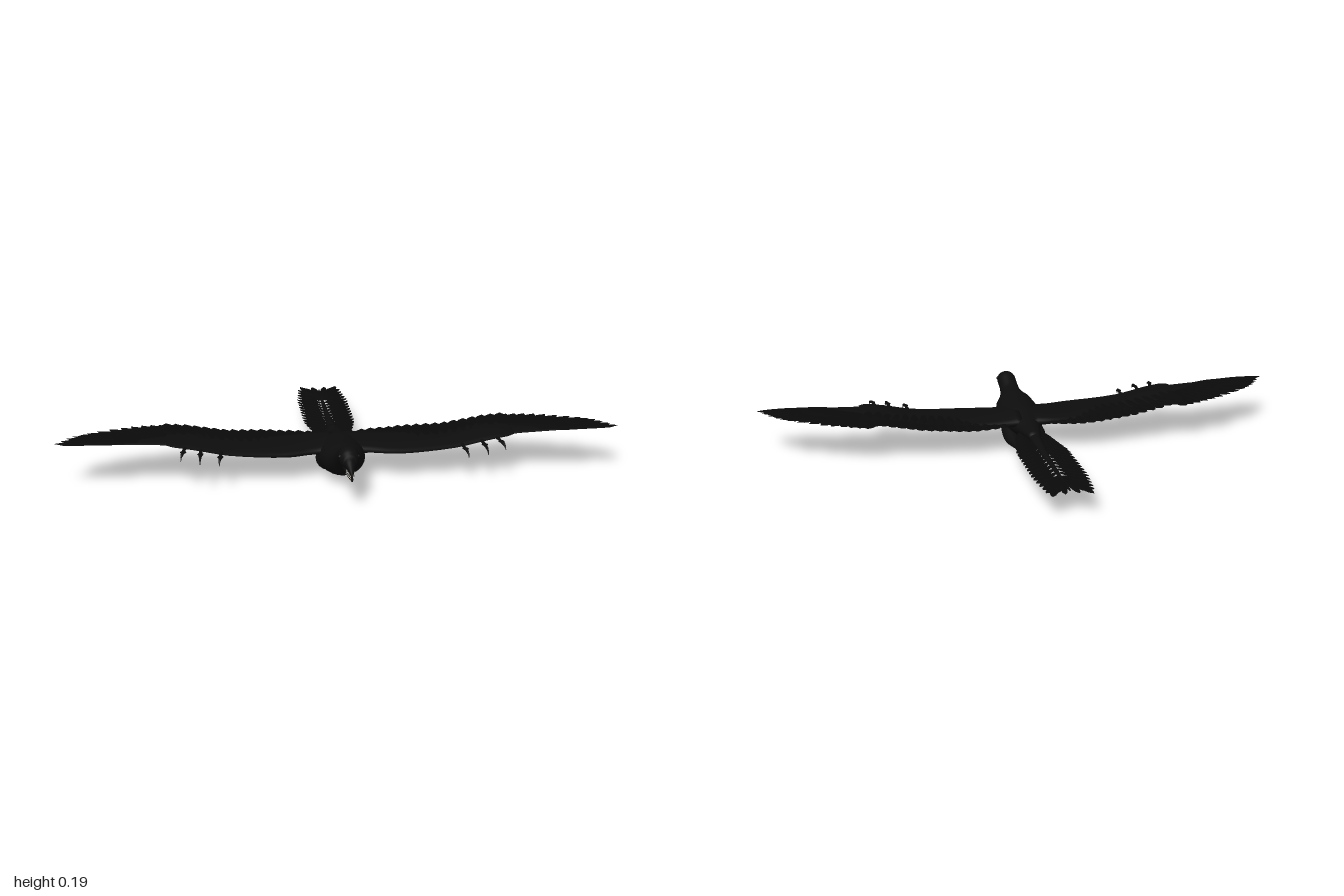
import * as THREE from 'three';
import { mergeGeometries } from 'three/addons/utils/BufferGeometryUtils.js';

const mat = (name, color, side = THREE.FrontSide) => {
  const m = new THREE.MeshStandardMaterial({ color, side });
  m.name = name;
  return m;
};

// Elliptical sections [x, y, z, halfWidth, halfHeight] swept along 'z' or 'x', in ascending order
function loft(axis, stations, sides = 20) {
  const pos = [], index = [], n = stations.length;
  for (const [x, y, z, a, b] of stations) {
    for (let j = 0; j < sides; j++) {
      const t = (j / sides) * Math.PI * 2, c = Math.cos(t) * a, s = Math.sin(t) * b;
      if (axis === 'z') pos.push(x + c, y + s, z);
      else pos.push(x, y - s, z + c);
    }
  }
  for (let i = 0; i < n - 1; i++) {
    for (let j = 0; j < sides; j++) {
      const k = (j + 1) % sides, p = i * sides, q = p + sides;
      index.push(p + j, p + k, q + k, p + j, q + k, q + j);
    }
  }
  pos.push(...stations[0].slice(0, 3), ...stations[n - 1].slice(0, 3));
  for (let j = 0; j < sides; j++) {
    const k = (j + 1) % sides, e = (n - 1) * sides;
    index.push(n * sides, k, j, n * sides + 1, e + j, e + k);
  }
  const g = new THREE.BufferGeometry();
  g.setAttribute('position', new THREE.Float32BufferAttribute(pos, 3));
  g.setIndex(index);
  g.computeVertexNormals();
  return g;
}

// Smooth a few control stations into a denser list
function smooth(stations, count) {
  const p = new THREE.CatmullRomCurve3(stations.map(s => new THREE.Vector3(s[0], s[1], s[2])));
  const r = new THREE.CatmullRomCurve3(stations.map(s => new THREE.Vector3(s[3], s[4], 0)));
  return Array.from({ length: count + 1 }, (_, i) => {
    const a = p.getPoint(i / count), b = r.getPoint(i / count);
    return [a.x, a.y, a.z, Math.max(b.x, 0.001), Math.max(b.y, 0.001)];
  });
}

// Leaf-shaped vane folded slightly along its shaft
function feather(root, tip, width, taper = 0.6) {
  const a = new THREE.Vector3(...root), dir = new THREE.Vector3(...tip).sub(a), length = dir.length();
  dir.normalize();
  const side = new THREE.Vector3(0, 1, 0).cross(dir).normalize();
  const up = dir.clone().cross(side);
  const g = new THREE.PlaneGeometry(1, 1, 2, 10), p = g.attributes.position;
  for (let i = 0; i < p.count; i++) {
    const t = p.getY(i) + 0.5, e = Math.max(0, (t - taper) / (1 - taper));
    const w = width * Math.min(1, 0.4 + 1.5 * t) * Math.sqrt(Math.max(0, 1 - e * e));
    const x = p.getX(i) * w;
    p.setXYZ(i, x, -Math.abs(x) * 0.15 + Math.sin(t * Math.PI) * length * 0.02, t * length);
  }
  g.applyMatrix4(new THREE.Matrix4().makeBasis(side, up, dir).setPosition(a));
  g.computeVertexNormals();
  return g;
}

// Linear lookup in a list of [key, value]
function lookup(table, x) {
  let i = 1;
  while (i < table.length - 1 && x > table[i][0]) i++;
  const [a, b] = [table[i - 1], table[i]];
  return THREE.MathUtils.lerp(a[1], b[1], (x - a[0]) / (b[0] - a[0]));
}
const wingHeight = x => lookup([[0, 0.1], [0.2, 0.1], [0.4, 0.113], [0.55, 0.14], [0.7, 0.15], [1, 0.161]], x);
const trailingEdge = x => lookup([[0.08, 0.055], [0.15, 0.035], [0.25, 0.024], [0.4, 0.042], [0.55, 0.05], [0.64, 0.045]], x);

export function createModel() {
  const plumage = mat('black plumage', 0x0d0d0d);
  const vane = mat('black flight feathers', 0x0a0a0a, THREE.DoubleSide);
  const horn = mat('black horn', 0x0b0b0b);
  const ivory = mat('ivory teeth', 0xd8d4c8);

  const model = new THREE.Group();
  model.name = 'featheredGlider';
  const add = (parent, name, geometry, material) => {
    const m = new THREE.Mesh(geometry, material);
    m.name = name;
    parent.add(m);
    return m;
  };

  // Torso, neck and skull
  add(model, 'body', loft('z', smooth([
    [0, 0.085, -0.03, 0.02, 0.016], [0, 0.083, 0.06, 0.04, 0.028], [0, 0.08, 0.12, 0.055, 0.042],
    [0, 0.078, 0.2, 0.075, 0.06], [0, 0.08, 0.28, 0.083, 0.063], [0, 0.09, 0.34, 0.073, 0.061],
    [0, 0.1, 0.375, 0.055, 0.052], [0, 0.118, 0.41, 0.041, 0.039], [0, 0.138, 0.45, 0.036, 0.036],
    [0, 0.15, 0.485, 0.036, 0.037], [0, 0.149, 0.512, 0.033, 0.033], [0, 0.145, 0.535, 0.022, 0.024],
  ], 44), 24), plumage);
  // Open toothed jaws
  add(model, 'upperJaw', loft('z', smooth([
    [0, 0.143, 0.51, 0.029, 0.026], [0, 0.139, 0.535, 0.021, 0.02],
    [0, 0.129, 0.565, 0.012, 0.012], [0, 0.117, 0.6, 0.002, 0.003],
  ], 12)), horn);
  add(model, 'lowerJaw', loft('z', smooth([
    [0, 0.125, 0.47, 0.026, 0.016], [0, 0.113, 0.525, 0.018, 0.009],
    [0, 0.105, 0.56, 0.011, 0.006], [0, 0.1, 0.592, 0.003, 0.003],
  ], 12)), horn);
  const teeth = [];
  for (const s of [-1, 1]) {
    for (let i = 0; i < 6; i++) {
      const z = 0.545 + i * 0.008, k = i / 5, x = s * (0.014 - k * 0.009);
      teeth.push(new THREE.ConeGeometry(0.002, 0.008, 6).rotateX(Math.PI).translate(x, 0.12 - k * 0.007, z));
      teeth.push(new THREE.ConeGeometry(0.002, 0.007, 6).translate(x, 0.113 - k * 0.006, z - 0.004));
    }
  }
  add(model, 'teeth', mergeGeometries(teeth), ivory);

  // Bony tail with paired vanes
  add(model, 'tailSpine', loft('z', [
    [0, 0.078, -0.55, 0.003, 0.003], [0, 0.074, -0.4, 0.007, 0.005], [0, 0.074, -0.2, 0.012, 0.008],
    [0, 0.08, -0.05, 0.02, 0.015], [0, 0.084, 0.04, 0.03, 0.022],
  ]), plumage);
  const tail = [];
  for (let i = 0; i < 18; i++) {
    const k = i / 17, rootZ = 0.04 - k * 0.52, tipZ = 0 - k * 0.54;
    const reach = lookup([[0, 0.068], [0.25, 0.098], [0.75, 0.1], [1, 0.085]], k);
    for (const s of [-1, 1]) {
      tail.push(feather([s * 0.008, 0.077, rootZ + 0.06 * (1 - k)], [s * reach, 0.07 + k * 0.008, tipZ - 0.02], 0.034, 0.4));
    }
  }
  for (const s of [-1, 1]) {
    tail.push(feather([s * 0.01, 0.076, -0.43], [s * 0.072, 0.079, -0.6], 0.036, 0.4));
    tail.push(feather([s * 0.005, 0.077, -0.42], [s * 0.05, 0.08, -0.575], 0.034, 0.4));
    tail.push(feather([s * 0.003, 0.078, -0.42], [s * 0.025, 0.08, -0.59], 0.03, 0.4));
  }
  add(model, 'tailFeathers', mergeGeometries(tail), vane);

  // One side of wing, leg and eye, mirrored for the other
  for (const s of [1, -1]) {
    const half = new THREE.Group();
    half.name = s > 0 ? 'leftSide' : 'rightSide';
    half.scale.x = s;
    model.add(half);

    add(half, 'wingArm', loft('x', smooth([
      [0.02, 0.1, 0.19, 0.1, 0.03], [0.1, 0.1, 0.19, 0.105, 0.021], [0.2, 0.099, 0.205, 0.114, 0.018],
      [0.4, 0.112, 0.21, 0.108, 0.014], [0.52, 0.136, 0.22, 0.097, 0.013], [0.59, 0.147, 0.235, 0.081, 0.009],
      [0.615, 0.149, 0.24, 0.06, 0.005],
    ], 24)), plumage);
    add(half, 'wingHand', loft('x', [
      [0.55, 0.143, 0.23, 0.06, 0.009], [0.65, 0.149, 0.25, 0.039, 0.006],
      [0.78, 0.154, 0.27, 0.019, 0.004], [0.92, 0.159, 0.281, 0.007, 0.002],
    ]), plumage);

    // Fan of primaries, secondaries along the arm, then shorter coverts above
    const flight = [], coverts = [];
    const tips = new THREE.CatmullRomCurve3([
      [1, 0, 0.279], [0.95, 0, 0.205], [0.89, 0, 0.155], [0.785, 0, 0.096], [0.69, 0, 0.06], [0.61, 0, 0.042],
    ].map(p => new THREE.Vector3(...p)));
    for (let i = 0; i < 14; i++) {
      const k = i / 13, tip = tips.getPoint(k), rx = 0.7 - k * 0.14, lift = -0.002 * k;
      flight.push(feather([rx, wingHeight(rx) + lift, 0.27 - k * 0.05], [tip.x, wingHeight(tip.x) + lift, tip.z], 0.052));
      const cx = THREE.MathUtils.lerp(rx, tip.x, 0.6), cz = THREE.MathUtils.lerp(0.27 - k * 0.05, tip.z, 0.6);
      coverts.push(feather([rx, wingHeight(rx) + 0.005, 0.27 - k * 0.04], [cx, wingHeight(cx) + 0.004, cz], 0.04));
    }
    for (let i = 0; i < 16; i++) {
      const x = 0.1 + i * 0.0345, rx = x - 0.015 - i * 0.001;
      flight.push(feather([rx, wingHeight(rx) + 0.002, 0.22], [x, wingHeight(x) + 0.004, trailingEdge(x)], 0.056));
      coverts.push(feather([rx, wingHeight(rx) + 0.013, 0.2], [x, wingHeight(x) + 0.007, trailingEdge(x) + 0.06], 0.046));
    }
    add(half, 'flightFeathers', mergeGeometries(flight), vane);
    add(half, 'covertFeathers', mergeGeometries(coverts), vane);

    // Three hooked wing fingers
    for (const [x, drift, reach] of [[0.425, 0.01, 0.392], [0.495, 0.006, 0.405], [0.548, 0.018, 0.39]]) {
      const y = wingHeight(x);
      add(half, 'wingClaw', loft('z', smooth([
        [x, y, 0.29, 0.007, 0.006], [x + drift * 0.3, y + 0.001, 0.33, 0.006, 0.005],
        [x + drift * 0.6, y, 0.365, 0.006, 0.005], [x + drift * 0.9, y - 0.007, reach - 0.008, 0.003, 0.005],
        [x + drift, y - 0.02, reach, 0.001, 0.001],
      ], 12), 8), horn);
    }

    // Leg folded back under the body
    add(half, 'leg', loft('z', smooth([
      [0.052, 0.03, -0.03, 0.006, 0.006], [0.053, 0.029, 0.03, 0.009, 0.009], [0.053, 0.028, 0.09, 0.019, 0.018],
      [0.052, 0.033, 0.16, 0.029, 0.032], [0.048, 0.045, 0.22, 0.03, 0.034], [0.04, 0.06, 0.28, 0.015, 0.02],
    ], 20), 16), plumage);
    for (const [dx, z, dy] of [[-0.014, -0.07, -0.006], [0, -0.084, -0.008], [0.014, -0.07, -0.006], [0.004, -0.045, -0.014]]) {
      add(half, 'toe', loft('z', [
        [0.052 + dx, 0.03 + dy, z, 0.001, 0.001], [0.052 + dx, 0.033 + dy, z + 0.012, 0.003, 0.003],
        [0.052 + dx * 0.6, 0.03 + dy * 0.5, z * 0.6, 0.004, 0.004], [0.052, 0.03, -0.015, 0.005, 0.005],
      ], 8), horn);
    }
    add(half, 'eye', new THREE.SphereGeometry(0.007, 12, 8).translate(0.031, 0.157, 0.505), horn);
  }
  return model;
}
